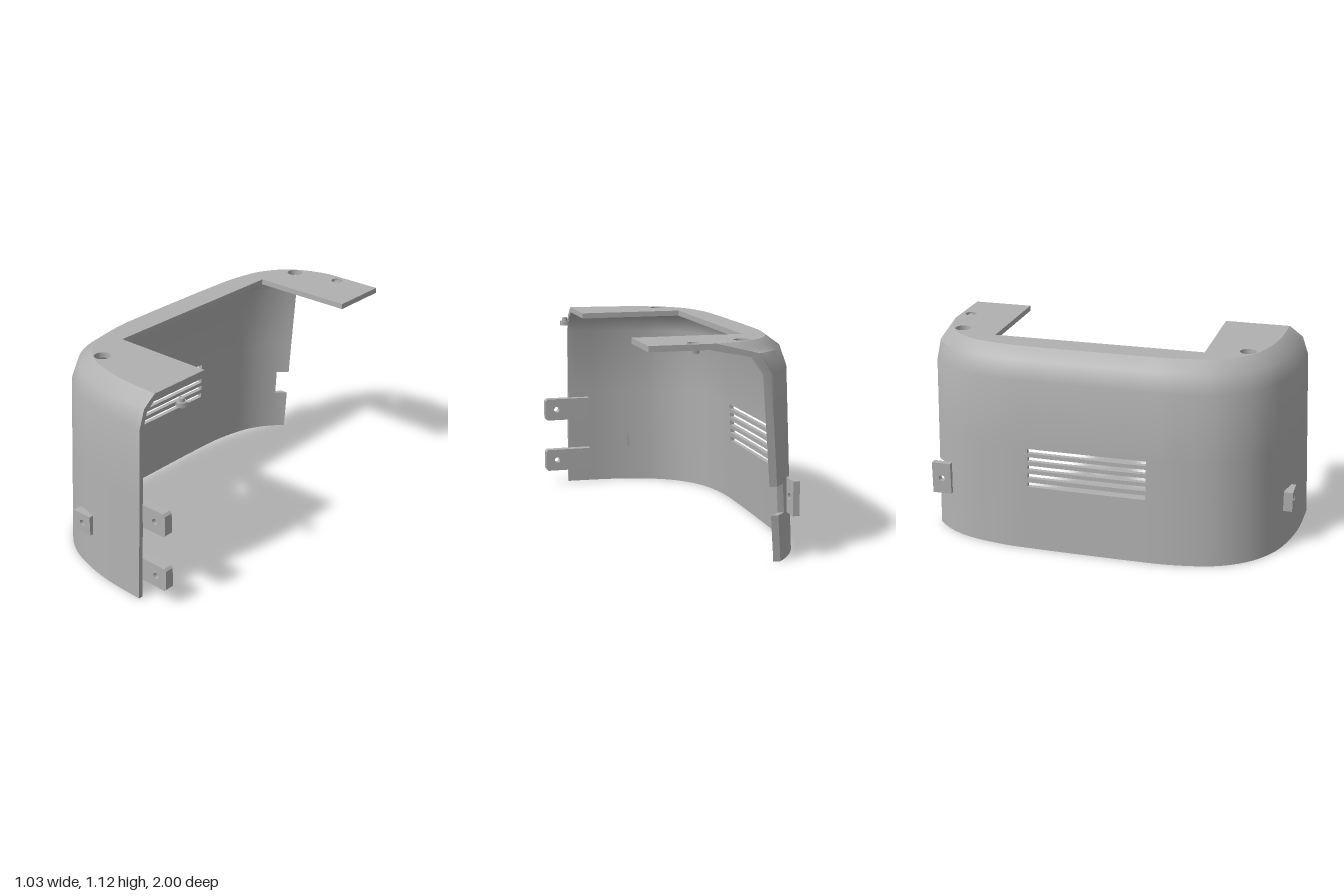
import * as THREE from 'three';
import { toCreasedNormals } from 'three/addons/utils/BufferGeometryUtils.js';

const MID = -0.09;      // z of the cover's own mirror plane
const BACK = -1;        // the back is cut off flat here
const OPEN_X = 0.36;    // open side
const ROOF_Y = 1.115;
const ROOF_T = 0.03;

// Plan outline at the base, front end to back end
const half = [[0.36, 1.09], [0.12, 1.078], [-0.05, 1.047], [-0.21, 0.99], [-0.345, 0.89],
  [-0.45, 0.73], [-0.505, 0.49], [-0.515, 0.25]];
const plan = [...half, [-0.516, 0], ...half.slice().reverse().map(([x, w]) => [x, -w])];
const outline = new THREE.CatmullRomCurve3(plan.map(([x, w]) => new THREE.Vector3(x, 0, w + MID)));

// Point on the outline moved inward by d
function planPoint(t, d) {
  const p = outline.getPoint(t), g = outline.getTangent(t);
  return [Math.min(p.x - g.z * d, OPEN_X), p.z + g.x * d];
}

// Parameter where the inset outline crosses a given z
function findT(z, d) {
  let a = 0, b = 1;
  for (let k = 0; k < 40; k++) {
    const m = (a + b) / 2;
    if (planPoint(m, d)[1] > z) a = m; else b = m;
  }
  return a;
}

// Columns run front to back, with stops at the vent ends and the rear notch
const STOPS = [0.245, -0.41, -0.95, BACK];
const STEPS = [36, 10, 18, 4];
function ring(d, y) {
  const pts = [[...planPoint(0, d)]];
  let t0 = 0;
  STOPS.forEach((z, s) => {
    const t1 = findT(z, d);
    for (let k = 1; k <= STEPS[s]; k++) pts.push(planPoint(t0 + (t1 - t0) * k / STEPS[s], d));
    t0 = t1;
  });
  return pts.map(([x, z]) => [x, y, z]);
}

function wallGeometry() {
  const vents = [0.375, 0.425, 0.472, 0.52, 0.567];
  const ys = [0, 0.24, ...vents.flatMap(v => [v - 0.013, v + 0.013]), 0.96];
  // [outer inset, outer y, inner inset, inner y]
  const levels = ys.map(y => [0.042 * y, y, 0.042 * y + 0.025, y]);
  levels[levels.length - 1][3] = 0.955;
  levels.push([0.075, 1.06, 0.096, 1.043], [0.15, ROOF_Y, 0.157, ROOF_Y - ROOF_T]);
  const outer = levels.map(l => ring(l[0], l[1]));
  const inner = levels.map(l => ring(l[2], l[3]));
  const nI = outer[0].length - 1, nJ = levels.length - 1;
  const c0 = STEPS[0], c1 = c0 + STEPS[1], c2 = c1 + STEPS[2];

  const solid = (i, j) => {
    if (i < 0 || j < 0 || i >= nI || j >= nJ) return false;
    const y = (levels[j][1] + levels[j + 1][1]) / 2;
    if (i >= c0 && i < c1 && vents.some(v => Math.abs(v - y) < 0.013)) return false;
    return !(i >= c2 && y > 0.24 && y < 0.388);
  };

  const pos = [];
  const quad = (a, b, c, d) => pos.push(...a, ...b, ...c, ...a, ...c, ...d);
  for (let j = 0; j < nJ; j++) for (let i = 0; i < nI; i++) {
    if (!solid(i, j)) continue;
    const corners = [[i, j], [i, j + 1], [i + 1, j + 1], [i + 1, j]];
    const o = corners.map(([a, b]) => outer[b][a]);
    const n = corners.map(([a, b]) => inner[b][a]);
    quad(o[0], o[1], o[2], o[3]);
    quad(n[3], n[2], n[1], n[0]);
    // rims around the openings and free edges
    [[-1, 0], [0, 1], [1, 0], [0, -1]].forEach(([di, dj], k) => {
      const m = (k + 1) % 4;
      if (!solid(i + di, j + dj)) quad(o[m], o[k], n[k], n[m]);
    });
  }
  const geo = new THREE.BufferGeometry();
  geo.setAttribute('position', new THREE.Float32BufferAttribute(pos, 3));
  return toCreasedNormals(geo, 0.7);
}

function circleHole(x, y, r) {
  return new THREE.Path().absarc(x, y, r, 0, Math.PI * 2, true);
}

function roofGeometry() {
  const tCut = findT(BACK, 0.15);
  const pts = [];
  for (let k = 0; k <= 70; k++) pts.push(new THREE.Vector2(...planPoint(tCut * k / 70, 0.15)));
  [[OPEN_X, BACK], [OPEN_X, -0.67], [-0.22, -0.67], [-0.22, 0.49], [OPEN_X, 0.49]]
    .forEach(p => pts.push(new THREE.Vector2(...p)));
  const shape = new THREE.Shape(pts);
  shape.holes.push(circleHole(-0.147, 0.707, 0.043), circleHole(-0.147, -0.887, 0.043),
    circleHole(0.12, -0.945, 0.032));
  const geo = new THREE.ExtrudeGeometry(shape, { depth: ROOF_T, bevelEnabled: false, curveSegments: 20 });
  return geo.rotateX(Math.PI / 2).translate(0, ROOF_Y, 0);
}

// Plate centred on the origin with clipped corners on its +x side and a drilled hole
function plateGeometry(w, h, depth, holeX, clip) {
  const x = w / 2, y = h / 2;
  const shape = new THREE.Shape([[-x, -y], [x - clip, -y], [x, -y + clip], [x, y - clip], [x - clip, y], [-x, y]]
    .map(p => new THREE.Vector2(...p)));
  shape.holes.push(circleHole(holeX, 0, 0.017));
  return new THREE.ExtrudeGeometry(shape, { depth, bevelEnabled: false, curveSegments: 12 })
    .translate(0, 0, -depth / 2);
}

export function createModel() {
  const model = new THREE.Group();
  model.name = 'housingCover';
  const grey = new THREE.MeshStandardMaterial({ color: 0xb0b0b0 });
  grey.name = 'grey';

  const add = (name, geo, x = 0, y = 0, z = 0, parent = model) => {
    const mesh = new THREE.Mesh(geo, grey);
    mesh.name = name;
    mesh.position.set(x, y, z);
    parent.add(mesh);
    return mesh;
  };

  add('ventedWall', wallGeometry());
  add('roof', roofGeometry());

  // Mounting brackets beside the open front edge
  for (const y of [0.155, 0.475]) {
    add('frontBracket', plateGeometry(0.28, 0.132, 0.05, 0.07, 0.012), 0.373, y, 0.932);
  }

  // Drilled pad through the front wall
  add('frontPad', plateGeometry(0.118, 0.112, 0.05, 0, 0.001), -0.069, 0.27, 0.952);

  // Drilled tab bridging the notch at the back edge
  const tab = add('rearTab', plateGeometry(0.108, 0.18, 0.035, 0, 0.001), -0.405, 0.318, -0.944);
  tab.rotation.y = Math.PI / 2;

  // Hex screws, one by the front opening and one under the back roof
  const screw = (name, x, y, z) => {
    const group = new THREE.Group();
    group.name = name;
    group.position.set(x, y, z);
    model.add(group);
    add('hexHead', new THREE.CylinderGeometry(0.03, 0.03, 0.026, 6), 0, 0.013, 0, group);
    add('shaft', new THREE.CylinderGeometry(0.016, 0.016, 0.045, 16), 0, 0.0235, 0, group);
  };
  screw('frontScrew', 0.42, 1.022, 0.725);
  screw('backScrew', 0.12, 1.064, -0.945);
  add('screwSeat', new THREE.CylinderGeometry(0.033, 0.033, 0.01, 20), 0.12, 1.092, -0.945);

  return model;
}
